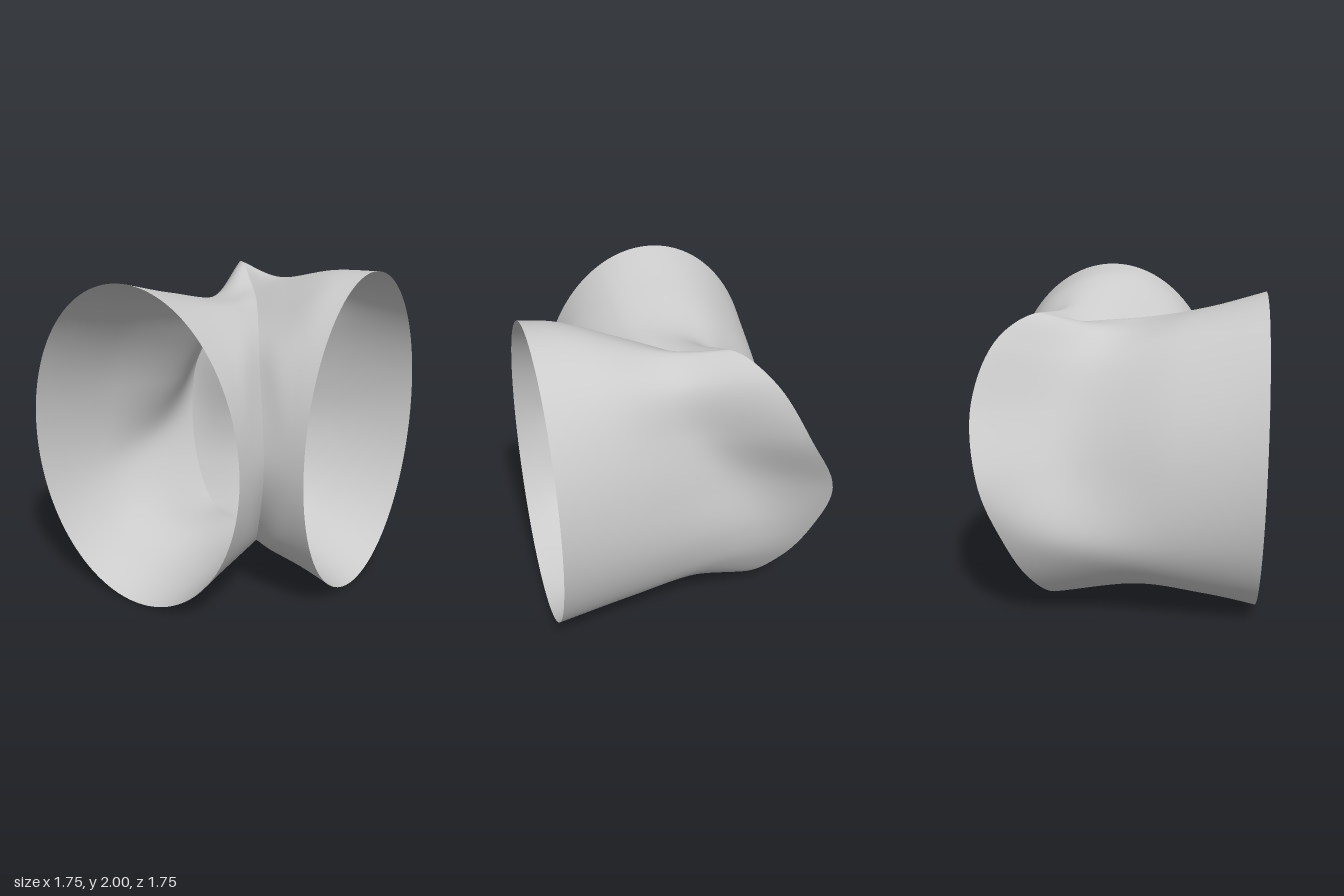
import * as THREE from 'three';

const AROUND = 140, ALONG = 36;
const { lerp, degToRad } = THREE.MathUtils;
const v = (p) => new THREE.Vector3(...p);
const loop = (pts) => new THREE.CatmullRomCurve3(pts.map(v), true, 'centripetal');

// Ridge where the two tubes meet, starting at the inner corner and going over the top
const ridge = loop([
  [0.62, 1, 0.62], [0.46, 1.57, 0.42], [0.2, 1.75, 0.02], [-0.03, 1.79, -0.29],
  [-0.24, 1.88, -0.5], [-0.42, 1.75, -0.71], [-0.61, 1.41, -0.83], [-0.81, 1.0, -0.77],
  [-0.77, 0.64, -0.65], [-0.63, 0.32, -0.52], [-0.42, 0.12, -0.38], [-0.12, 0.15, -0.17],
  [0.2, 0.21, 0.04], [0.45, 0.42, 0.41],
]);

// Narrow waist of each tube, matched point by point to the ridge
const frontWaist = loop([
  [0.62, 1, 0.75], [0.48, 1.58, 0.6], [0.22, 1.78, 0.27], [0.02, 1.78, 0.08],
  [-0.17, 1.74, -0.07], [-0.32, 1.63, -0.2], [-0.48, 1.36, -0.29], [-0.65, 1.02, -0.3],
  [-0.78, 0.64, -0.17], [-0.67, 0.39, 0.03], [-0.46, 0.22, 0.15], [-0.12, 0.14, 0.23],
  [0.22, 0.22, 0.35], [0.48, 0.43, 0.58],
]);
const sideWaist = loop([
  [0.75, 1, 0.62], [0.6, 1.58, 0.46], [0.42, 1.82, 0.08], [0.23, 1.86, -0.24],
  [0.13, 1.83, -0.4], [0.07, 1.71, -0.55], [-0.04, 1.41, -0.6], [-0.24, 1.06, -0.61],
  [-0.34, 0.7, -0.625], [-0.2, 0.43, -0.58], [0, 0.24, -0.44], [0.18, 0.15, -0.17],
  [0.38, 0.22, 0.15], [0.58, 0.43, 0.46],
]);

// Rim angles in degrees at each matched point
const frontAngles = [0, 35, 62, 78, 95, 115, 140, 170, 200, 220, 240, 268, 297, 325, 360];
const sideAngles = [0, 38, 75, 95, 112, 128, 148, 170, 198, 222, 245, 270, 295, 325, 360];

// Point on an elliptical rim: across = horizontal offset, y = height
function rimPoint(angles, u) {
  const t = u * (angles.length - 1), i = Math.floor(t);
  const a = degToRad(lerp(angles[i], angles[i + 1], t - i));
  return { across: -0.127 + 0.747 * Math.cos(a), y: 1 + Math.sin(a) };
}

// Skin from rim over a shoulder, through the waist to the ridge.
// taper: how far the shoulder has narrowed at [bottom, flank, top]
function tube(name, axis, rimAt, waist, taper, flip) {
  const pos = [], index = [];
  for (let j = 0; j < AROUND; j++) {
    const u = j / AROUND;
    const rim = rimAt(u), neck = waist.getPoint(u), h = rim.y - 1;
    const narrowing = lerp(taper[1], h > 0 ? taper[2] : taper[0], h * h);
    const shoulder = rim.clone().lerp(neck, narrowing);
    shoulder[axis] = lerp(rim[axis], neck[axis], 0.45);
    const strand = new THREE.CatmullRomCurve3(
      [rim, shoulder, neck, ridge.getPoint(u)], false, 'centripetal');
    for (let i = 0; i <= ALONG; i++) pos.push(...strand.getPoint(i / ALONG).toArray());
  }
  const at = (i, j) => (j % AROUND) * (ALONG + 1) + i;
  for (let j = 0; j < AROUND; j++) {
    for (let i = 0; i < ALONG; i++) {
      const a = at(i, j), b = at(i, j + 1), c = at(i + 1, j), d = at(i + 1, j + 1);
      if (flip) index.push(a, b, c, b, d, c);
      else index.push(a, c, b, b, c, d);
    }
  }
  const geo = new THREE.BufferGeometry();
  geo.setAttribute('position', new THREE.Float32BufferAttribute(pos, 3));
  geo.setIndex(index);
  geo.computeVertexNormals();
  const mesh = new THREE.Mesh(geo,
    new THREE.MeshStandardMaterial({ color: 0xcccccc, side: THREE.DoubleSide }));
  mesh.name = name;
  return mesh;
}

export function createModel() {
  const group = new THREE.Group();
  group.name = 'elbowDuct';
  const frontRim = (u) => {
    const p = rimPoint(frontAngles, u);
    return new THREE.Vector3(p.across, p.y, 0.874);
  };
  const sideRim = (u) => {
    const p = rimPoint(sideAngles, u);
    return new THREE.Vector3(0.874, p.y, p.across);
  };
  group.add(tube('frontTube', 'z', frontRim, frontWaist, [0.58, 0.35, 0.52], false));
  group.add(tube('sideTube', 'x', sideRim, sideWaist, [0.6, 0.33, 0.22], true));
  return group;
}
